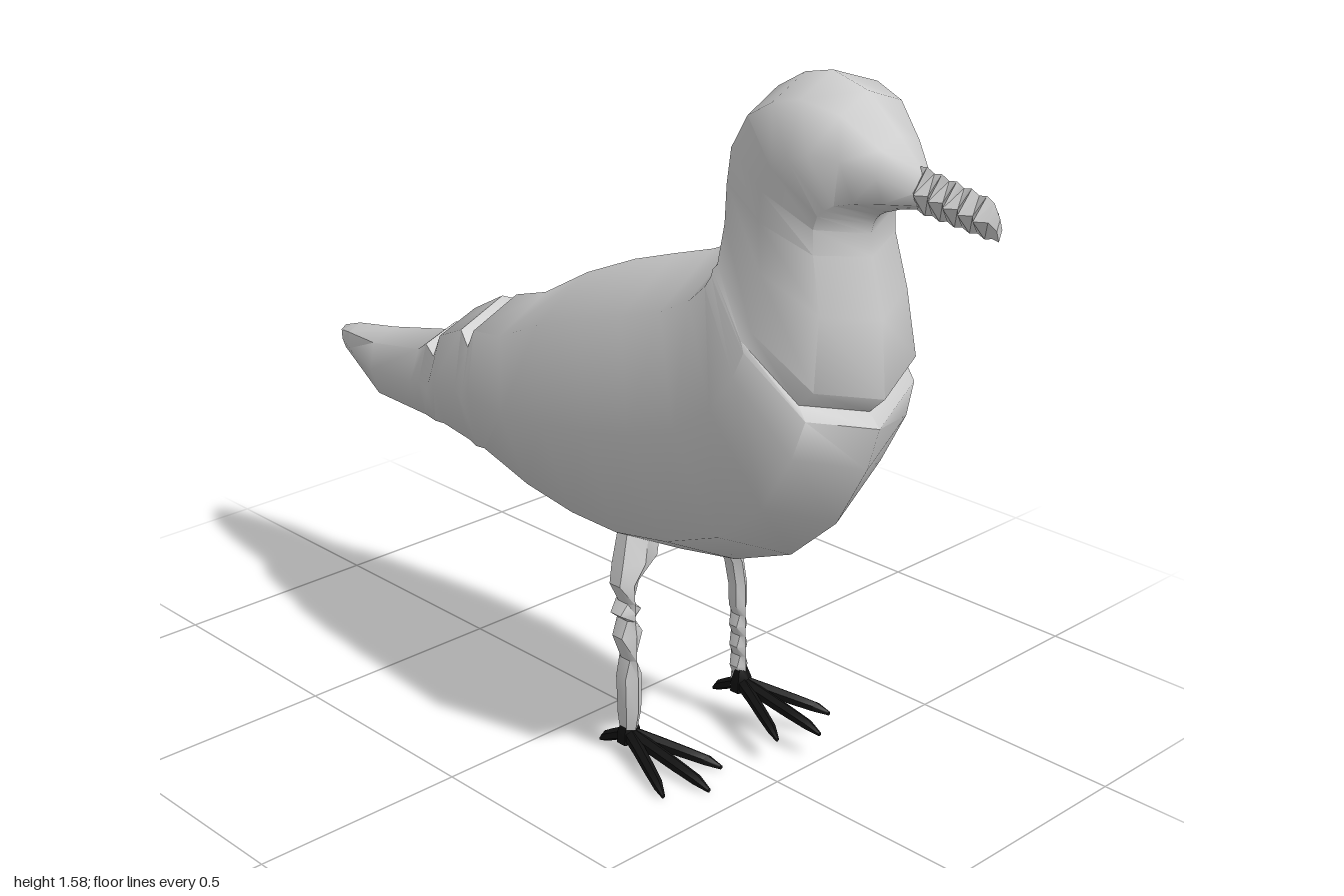
import * as THREE from 'three';
import { toCreasedNormals } from 'three/addons/utils/BufferGeometryUtils.js';

// Skins a list of rings (equal point counts) and closes both ends.
function loft(rings, crease) {
  const n = rings[0].length, pos = [], idx = [];
  rings.forEach(r => r.forEach(p => pos.push(...p)));
  const cap = r => {
    pos.push(...[0, 1, 2].map(k => r.reduce((s, p) => s + p[k], 0) / n));
    return pos.length / 3 - 1;
  };
  const c0 = cap(rings[0]), c1 = cap(rings[rings.length - 1]);
  const last = (rings.length - 1) * n;
  for (let j = 0; j < n; j++) {
    const k = (j + 1) % n;
    for (let i = 0; i < last; i += n) idx.push(i + j, i + k, i + n + j, i + k, i + n + k, i + n + j);
    idx.push(c0, k, j, c1, last + j, last + k);
  }
  // Signed volume decides which way the faces turn
  const v = i => new THREE.Vector3().fromArray(pos, i * 3);
  let vol = 0;
  for (let i = 0; i < idx.length; i += 3) vol += v(idx[i]).dot(v(idx[i + 1]).cross(v(idx[i + 2])));
  if (vol < 0) idx.reverse();
  const g = new THREE.BufferGeometry();
  g.setAttribute('position', new THREE.Float32BufferAttribute(pos, 3));
  g.setIndex(idx);
  return toCreasedNormals(g, crease);
}

// Rounded section between a back point and a belly point: [tx, ty, bx, by, halfWidth]
const SECTION = [[0, 0], [0.14, 0.8], [0.5, 1], [0.86, 0.8], [1, 0], [0.86, -0.8], [0.5, -1], [0.14, -0.8]];
const bodyRing = ([tx, ty, bx, by, w]) => SECTION.map(([t, s]) => [tx + (bx - tx) * t, ty + (by - ty) * t, s * w]);

// Horizontal ring for legs: [y, x, z, rx, rz]
const legRing = ([y, x, z, rx, rz]) => [0, 1, 2, 3, 4, 5].map(i => {
  const a = i * Math.PI / 3;
  return [x + rx * Math.cos(a), y, z + rz * Math.sin(a)];
});

// Upright ring for toes and beak
const uprightRing = (x, y, z, ry, rz, n) => Array.from({ length: n }, (_, i) => {
  const a = i * 2 * Math.PI / n;
  return [x, y + ry * Math.cos(a), z + rz * Math.sin(a)];
});

export function createModel() {
  const model = new THREE.Group();
  const grey = new THREE.MeshStandardMaterial({ color: 0xcccccc });
  grey.name = 'plumage grey';
  const black = new THREE.MeshStandardMaterial({ color: 0x111111 });
  black.name = 'foot black';
  const add = (name, geo, mat, parent = model) => {
    const m = new THREE.Mesh(geo, mat);
    m.name = name;
    parent.add(m);
  };

  // Tail, body, neck and head as one skin, with notches on the rump and breast
  const tail = [
    [-1, 0.67, -0.98, 0.61, 0.02], [-0.94, 0.69, -0.9, 0.59, 0.05], [-0.8, 0.715, -0.78, 0.54, 0.085],
    [-0.6, 0.76, -0.62, 0.54, 0.105], [-0.56, 0.79, -0.57, 0.54, 0.115], [-0.53, 0.765, -0.53, 0.54, 0.12],
    [-0.49, 0.84, -0.48, 0.54, 0.135], [-0.39, 0.895, -0.36, 0.53, 0.16],
    [-0.365, 0.855, -0.335, 0.528, 0.163], [-0.34, 0.91, -0.3, 0.525, 0.167],
  ];
  const trunk = [
    [-0.24, 0.94, -0.12, 0.485, 0.19], [-0.1, 1.02, 0.05, 0.46, 0.21], [0.05, 1.085, 0.2, 0.455, 0.222],
    [0.17, 1.125, 0.36, 0.485, 0.228], [0.28, 1.16, 0.52, 0.55, 0.23], [0.35, 1.19, 0.64, 0.66, 0.225],
    [0.38, 1.21, 0.715, 0.8, 0.215], [0.385, 1.22, 0.742, 0.895, 0.203],
    [0.387, 1.228, 0.715, 0.925, 0.197], [0.39, 1.235, 0.752, 0.96, 0.19],
  ];
  const head = [
    [0.388, 1.3, 0.738, 1.12, 0.162], [0.387, 1.37, 0.705, 1.24, 0.15], [0.4, 1.45, 0.7, 1.285, 0.15],
    [0.45, 1.53, 0.705, 1.305, 0.153], [0.52, 1.57, 0.71, 1.315, 0.15], [0.59, 1.585, 0.717, 1.325, 0.138],
    [0.68, 1.56, 0.735, 1.335, 0.11], [0.76, 1.49, 0.77, 1.348, 0.07], [0.82, 1.43, 0.825, 1.36, 0.025],
  ];
  add('body', loft([...tail, ...trunk, ...head].map(bodyRing), 1.0), grey);

  // Ridged beak
  const beak = [];
  for (let i = 0; i <= 10; i++) {
    const t = i / 10, ridge = i % 2;
    beak.push(uprightRing(0.81 + 0.175 * t, 1.397 - 0.025 * t, 0, 0.048 - 0.008 * t - (ridge ? 0 : 0.006), ridge ? 0.038 : 0.016, 4));
  }
  beak.push(uprightRing(1, 1.357, 0, 0.022, 0.008, 4));
  add('beak', loft(beak, 0.5), grey);

  // Knobbly legs
  add('leftLeg', loft([
    [0.52, 0.15, 0.08, 0.03, 0.06], [0.45, 0.16, 0.105, 0.035, 0.06], [0.41, 0.165, 0.14, 0.032, 0.033],
    [0.365, 0.17, 0.14, 0.03, 0.01], [0.343, 0.17, 0.14, 0.031, 0.036], [0.325, 0.172, 0.14, 0.028, 0.012],
    [0.29, 0.175, 0.14, 0.03, 0.036], [0.23, 0.178, 0.14, 0.028, 0.01], [0.19, 0.18, 0.14, 0.03, 0.028],
    [0.1, 0.182, 0.14, 0.028, 0.026], [0.06, 0.18, 0.14, 0.022, 0.02],
  ].map(legRing), 0.6), grey);
  const right = [[0.53, 0.22, -0.07, 0.02, 0.02], [0.47, 0.23, -0.095, 0.026, 0.02], [0.4, 0.235, -0.13, 0.026, 0.02], [0.34, 0.238, -0.14, 0.024, 0.02]];
  for (let i = 0; i <= 8; i++) right.push([0.29 - i * 0.025, 0.24 + i * 0.001, -0.14, 0.023, i % 2 ? 0.008 : 0.02]);
  add('rightLeg', loft(right.map(legRing), 0.6), grey);

  // Feet: ankle, three spread front toes and a hind toe
  const toes = [[0.25, 0], [0.2, 0.088], [0.2, -0.088], [-0.075, 0.015]];
  [['leftFoot', 0.18, 0, 0.14, 1], ['rightFoot', 0.255, 0.055, -0.14, 0.96]].forEach(([name, x, y, z, s]) => {
    const foot = new THREE.Group();
    foot.name = name;
    foot.position.set(x, y, z);
    foot.scale.setScalar(s);
    model.add(foot);
    add('ankle', loft([[0.085, 0, 0, 0.012, 0.014], [0.055, 0, 0, 0.024, 0.026], [0.025, 0, 0, 0.024, 0.028]].map(legRing), 0.9), black, foot);
    toes.forEach(([dx, dz]) => {
      const rings = [[0, 0.045, 0.018], [0.3, 0.036, 0.016], [0.6, 0.025, 0.015], [0.85, 0.016, 0.013], [1, 0.006, 0.005]]
        .map(([t, h, r]) => uprightRing(dx * t, h, dz * t, r, r, 6));
      add('toe', loft(rings, 0.9), black, foot);
    });
  });
  return model;
}
